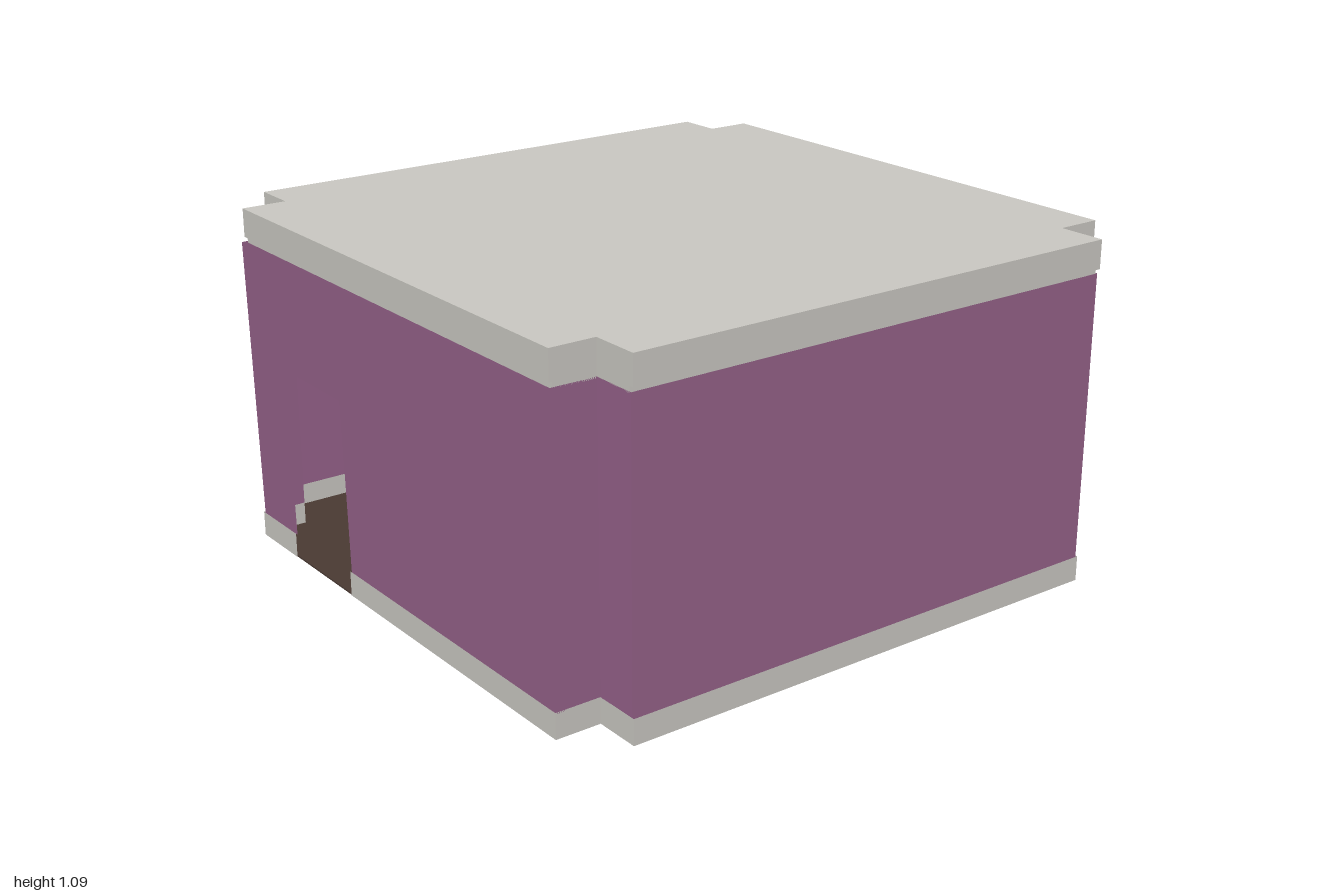
import * as THREE from 'three';

// Cross-shaped outline, counter-clockwise from above, starting at the front edge's left corner
const outline = ({ left, right, front, back, nl = -0.84, nr = 0.83, nf = 0.845, nb = -0.845 }) => [
  [nl, front], [nr, front], [nr, nf], [right, nf], [right, nb], [nr, nb],
  [nr, back], [nl, back], [nl, nb], [left, nb], [left, nf], [nl, nf],
];

const DOOR = { x0: -0.62, x1: -0.27, top: 0.63 };

// Upright shell between a lower and an upper outline, with the doorway cut from the front edge
function shell(lower, upper, y0, y1, doorTop) {
  const pos = [];
  const quad = (a, b, c, d) => pos.push(...a, ...b, ...c, ...a, ...c, ...d);
  lower.forEach((l, i) => {
    const j = (i + 1) % lower.length;
    const m = lower[j], u = upper[i], v = upper[j];
    // point on this side: s along its length, height y
    const at = (s, y) => {
      const t = (y - y0) / (y1 - y0);
      const mix = THREE.MathUtils.lerp;
      return [
        mix(mix(l[0], m[0], s), mix(u[0], v[0], s), t), y,
        mix(mix(l[1], m[1], s), mix(u[1], v[1], s), t),
      ];
    };
    const panel = (s0, s1, ya, yb) => quad(at(s0, ya), at(s1, ya), at(s1, yb), at(s0, yb));
    if (i > 0) return panel(0, 1, y0, y1);
    const s0 = (DOOR.x0 - l[0]) / (m[0] - l[0]);
    const s1 = (DOOR.x1 - l[0]) / (m[0] - l[0]);
    panel(0, s0, y0, y1);
    panel(s1, 1, y0, y1);
    if (doorTop < y1) panel(s0, s1, doorTop, y1);
  });
  const geo = new THREE.BufferGeometry();
  geo.setAttribute('position', new THREE.Float32BufferAttribute(pos, 3));
  geo.computeVertexNormals();
  return geo;
}

// Solid slab with the given outline
function slab(points, y0, y1) {
  const shape = new THREE.Shape(points.map(([x, z]) => new THREE.Vector2(x, -z)));
  const geo = new THREE.ExtrudeGeometry(shape, { depth: y1 - y0, bevelEnabled: false });
  geo.rotateX(-Math.PI / 2);
  geo.translate(0, y0, 0);
  return geo;
}

export function createModel() {
  const group = new THREE.Group();
  const stone = new THREE.MeshStandardMaterial({ color: 0xcbc9c3, side: THREE.DoubleSide });
  const plaster = new THREE.MeshStandardMaterial({ color: 0x96628a, side: THREE.DoubleSide });
  const earth = new THREE.MeshStandardMaterial({ color: 0x4a3a33, side: THREE.DoubleSide });
  stone.name = 'pale stone';
  plaster.name = 'purple plaster';
  earth.name = 'brown floor';

  const add = (name, geo, mat) => {
    const mesh = new THREE.Mesh(geo, mat);
    mesh.name = name;
    group.add(mesh);
  };

  const base = outline({ left: -0.985, right: 0.98, front: 0.99, back: -0.985 });
  const wallFoot = outline({ left: -0.98, right: 0.973, front: 0.985, back: -0.98 });
  const wallTop = outline({ left: -0.997, right: 0.976, front: 1.0, back: -0.996 });
  const lip = outline({ left: -0.975, right: 0.97, front: 0.98, back: -0.98 });
  const roof = outline({ left: -0.985, right: 0.985, front: 0.99, back: -0.99 });

  // Floor plate and the low kerb around it, open at the doorway
  add('floor', slab(base.map(([x, z]) => [x * 0.998, z * 0.998]), 0, 0.005), earth);
  add('kerb', shell(base, base, 0, 0.08, 0.08), stone);

  // Thin walls leaning slightly outwards, with the doorway
  add('walls', shell(wallFoot, wallTop, 0.075, 0.985, DOOR.top), plaster);

  // Roof slab on a narrow lip
  add('roofLip', slab(lip, 0.98, 1.0), stone);
  add('roof', slab(roof, 1.0, 1.09), stone);

  return group;
}
